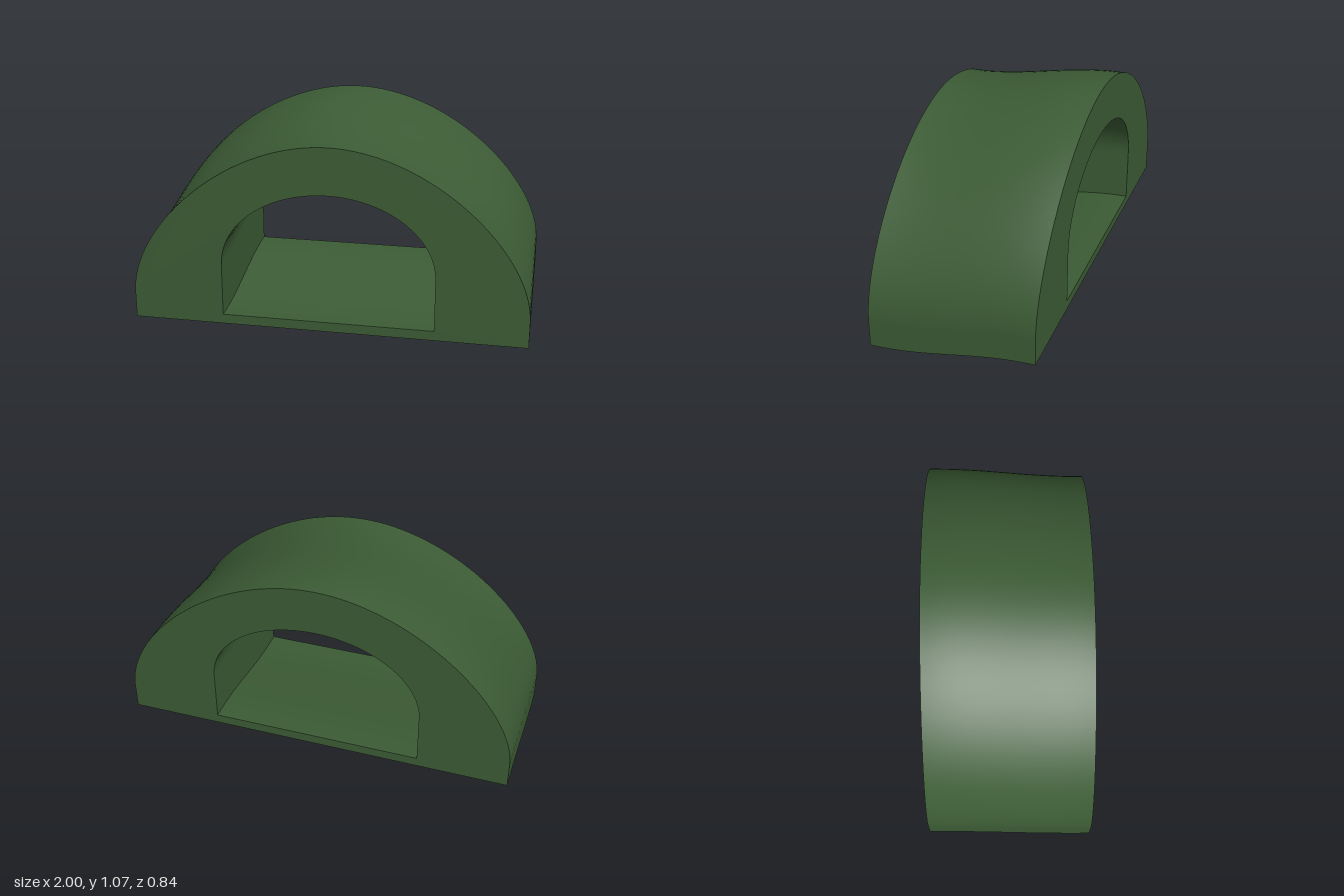
import * as THREE from 'three';

const HALF_DEPTH = 0.42;
const RISE = 0.105;
const STEPS = 24;

// Gentle S-shaped climb from the front (0) to the back (RISE)
const lift = (z) => (RISE / 2) * (1 - Math.sin((Math.PI * z) / (2 * HALF_DEPTH)));

// Arch from the right foot over the crown to the left foot;
// crownPull and sidePull set how full the curve is at the top and the sides
function archPoints(halfWidth, base, spring, top, crownPull, sidePull) {
  const curve = new THREE.CubicBezierCurve(
    new THREE.Vector2(halfWidth, spring),
    new THREE.Vector2(halfWidth, spring + (top - spring) * sidePull),
    new THREE.Vector2(halfWidth * crownPull, top),
    new THREE.Vector2(0, top)
  );
  const right = [new THREE.Vector2(halfWidth, base), ...curve.getPoints(32)];
  const left = right.slice(0, -1).reverse().map((p) => new THREE.Vector2(-p.x, p.y));
  return [...right, ...left];
}

// Wall swept along the climb from an open line; a reversed line faces inward
function sweepWall(line) {
  const n = line.length;
  const positions = [];
  const index = [];
  for (let j = 0; j <= STEPS; j++) {
    const z = HALF_DEPTH - (2 * HALF_DEPTH * j) / STEPS;
    for (const p of line) positions.push(p.x, p.y + lift(z), z);
  }
  for (let j = 0; j < STEPS; j++) {
    for (let i = 0; i < n - 1; i++) {
      const a = j * n + i, b = a + 1, c = b + n, d = a + n;
      index.push(a, d, b, b, d, c);
    }
  }
  const geometry = new THREE.BufferGeometry();
  geometry.setAttribute('position', new THREE.Float32BufferAttribute(positions, 3));
  geometry.setIndex(index);
  geometry.computeVertexNormals();
  return geometry;
}

export function createModel() {
  const group = new THREE.Group();
  group.name = 'archedTunnel';
  const green = new THREE.MeshStandardMaterial({ color: 0x3c5c35 });
  green.name = 'mossGreen';

  const add = (name, geometry) => {
    const mesh = new THREE.Mesh(geometry, green);
    mesh.name = name;
    group.add(mesh);
    return mesh;
  };

  const outer = archPoints(1, 0, 0.14, 0.96, 0.51, 0.42);
  const inner = archPoints(0.537, 0.05, 0.32, 0.718, 0.552, 0.552);

  // Outer shell with its underside
  add('outerShell', sweepWall(outer));
  add('underside', sweepWall([outer.at(-1), outer[0]]));

  // Passage through the shell with its floor
  add('passageVault', sweepWall([...inner].reverse()));
  add('passageFloor', sweepWall([inner[0], inner.at(-1)]));

  // Flat end faces with the opening cut out
  const face = new THREE.Shape(outer);
  face.holes.push(new THREE.Path(inner));
  add('frontFace', new THREE.ShapeGeometry(face)).position.z = HALF_DEPTH;
  const back = add('backFace', new THREE.ShapeGeometry(face).rotateY(Math.PI));
  back.position.set(0, RISE, -HALF_DEPTH);

  return group;
}
